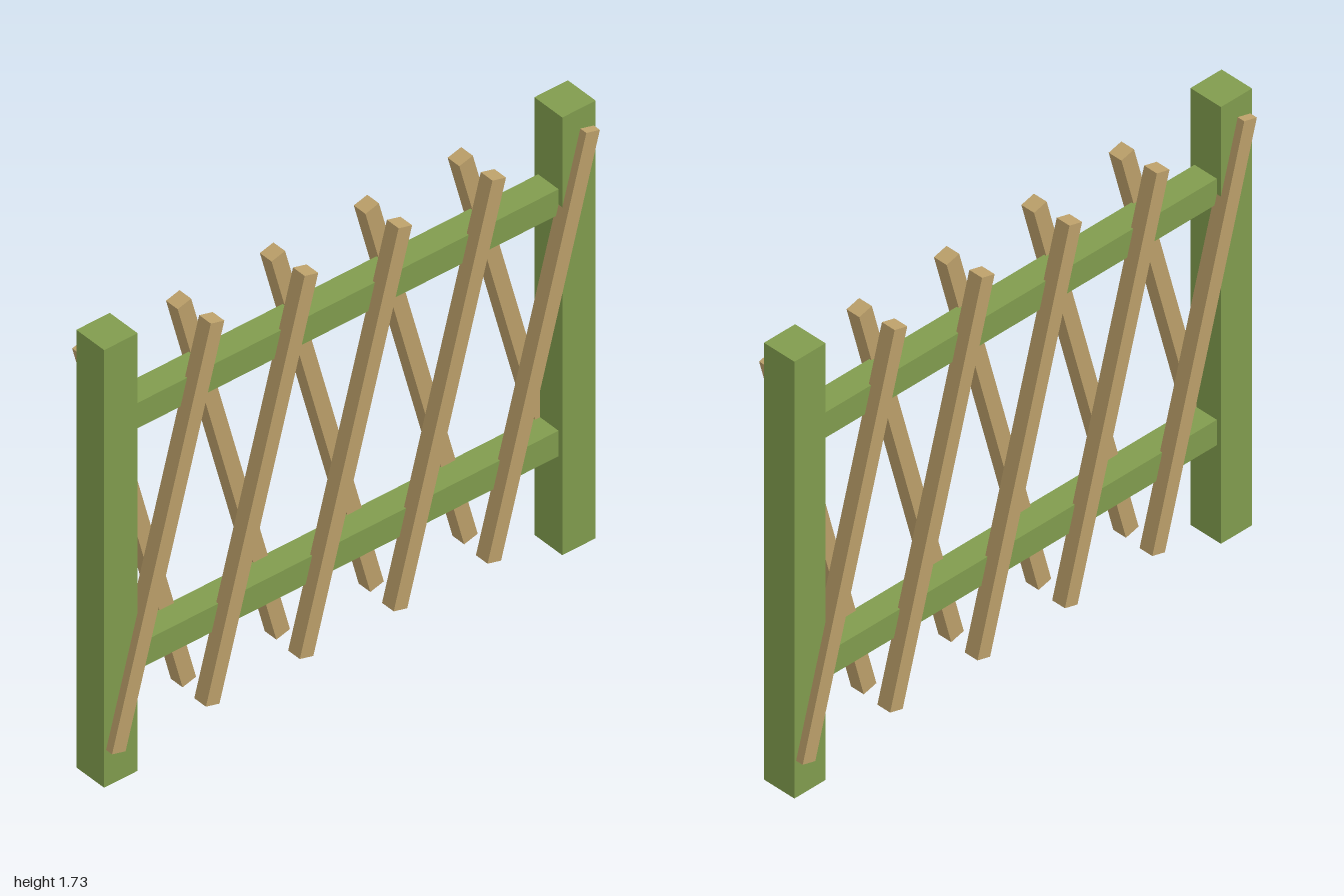
import * as THREE from 'three';

export function createModel() {
  const group = new THREE.Group();
  group.name = 'latticeFence';

  const green = new THREE.MeshStandardMaterial({ color: 0x819c4e });
  green.name = 'greenPaint';
  const tan = new THREE.MeshStandardMaterial({ color: 0xbca06a });
  tan.name = 'tanWood';

  function box(name, size, position, material, tilt = 0) {
    const mesh = new THREE.Mesh(new THREE.BoxGeometry(...size), material);
    mesh.name = name;
    mesh.position.set(...position);
    mesh.rotation.z = tilt;
    group.add(mesh);
  }

  // Square end posts
  for (const side of [-1, 1]) {
    box(side > 0 ? 'leftPost' : 'rightPost', [0.136, 1.725, 0.136], [side * 0.932, 0.8625, 0], green);
  }

  // Horizontal rails between the posts
  box('lowerRail', [1.76, 0.1, 0.1], [0, 0.43, 0], green);
  box('upperRail', [1.76, 0.1, 0.1], [0, 1.382, 0], green);

  // Slanted slats: the front row leans one way, the back row the other
  const tilt = THREE.MathUtils.degToRad(15);
  for (const face of [1, -1]) {
    for (let i = -2; i <= 2; i++) {
      box(face > 0 ? 'frontSlat' : 'backSlat', [0.057, 1.553, 0.057],
        [i * 0.382, 0.888, face * 0.069], tan, -face * tilt);
    }
  }

  return group;
}
